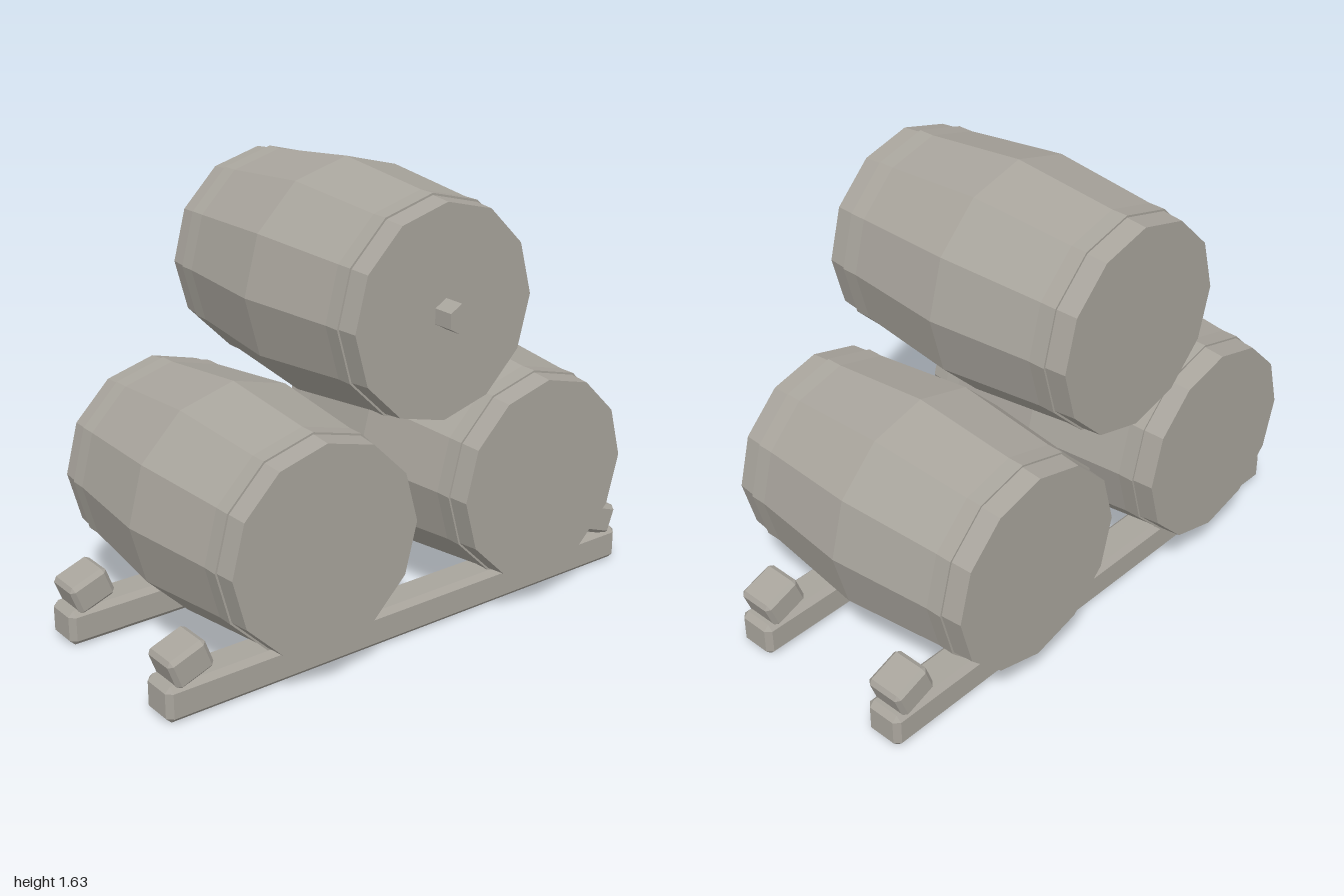
import * as THREE from 'three';
import { ConvexGeometry } from 'three/addons/geometries/ConvexGeometry.js';

const wood = new THREE.MeshStandardMaterial({ color: 0xa8a49c });
wood.name = 'weathered grey';

// Gives every face its own flat normal
function faceted(geometry) {
  const flat = geometry.toNonIndexed();
  flat.computeVertexNormals();
  return flat;
}

// Box with every edge cut at 45 degrees
function chamferedBox(w, h, d, c) {
  const points = [];
  for (const x of [-1, 1]) for (const y of [-1, 1]) for (const z of [-1, 1]) {
    for (let axis = 0; axis < 3; axis++) {
      const inset = [c, c, c];
      inset[axis] = 0;
      points.push(new THREE.Vector3(x * (w / 2 - inset[0]), y * (h / 2 - inset[1]), z * (d / 2 - inset[2])));
    }
  }
  return new ConvexGeometry(points);
}

// Twelve-sided barrel lying along z, with a raised hoop near each end
function barrelGeometry() {
  const half = [[0, 0.525], [0.365, 0.525], [0.372, 0.45], [0.379, 0.45], [0.379, 0.39]];
  const profile = [
    ...half.map(([r, y]) => new THREE.Vector2(r, -y)),
    new THREE.Vector2(0.42, 0),
    ...half.slice().reverse().map(([r, y]) => new THREE.Vector2(r, y)),
  ];
  return faceted(new THREE.LatheGeometry(profile, 12).rotateX(Math.PI / 2));
}

export function createModel() {
  const model = new THREE.Group();
  model.name = 'barrelStack';

  function add(name, geometry, x, y, z, tilt = 0) {
    const mesh = new THREE.Mesh(geometry, wood);
    mesh.name = name;
    mesh.position.set(x, y, z);
    mesh.rotation.z = tilt;
    model.add(mesh);
  }

  // Three stacked barrels
  const barrel = barrelGeometry();
  add('leftBarrel', barrel, 0.472, 0.515, -0.037);
  add('rightBarrel', barrel, -0.472, 0.515, -0.037);
  add('topBarrel', barrel, 0, 1.21, -0.037);

  // Hexagonal bung on the front of the top barrel
  const bung = faceted(new THREE.CylinderGeometry(0.052, 0.052, 0.1, 6).rotateX(Math.PI / 2));
  add('bung', bung, 0, 1.21, 0.514);

  // Two rails, each with a tilted chock at both ends
  const rail = chamferedBox(2, 0.13, 0.145, 0.02);
  const chock = chamferedBox(0.15, 0.115, 0.145, 0.015);
  for (const [end, z] of [['front', 0.28], ['back', -0.353]]) {
    add(end + 'Rail', rail, 0, 0.065, z);
    for (const [side, s] of [['Left', 1], ['Right', -1]]) {
      add(end + side + 'Chock', chock, s * 0.905, 0.186, z, -s * 0.35);
    }
  }
  return model;
}
